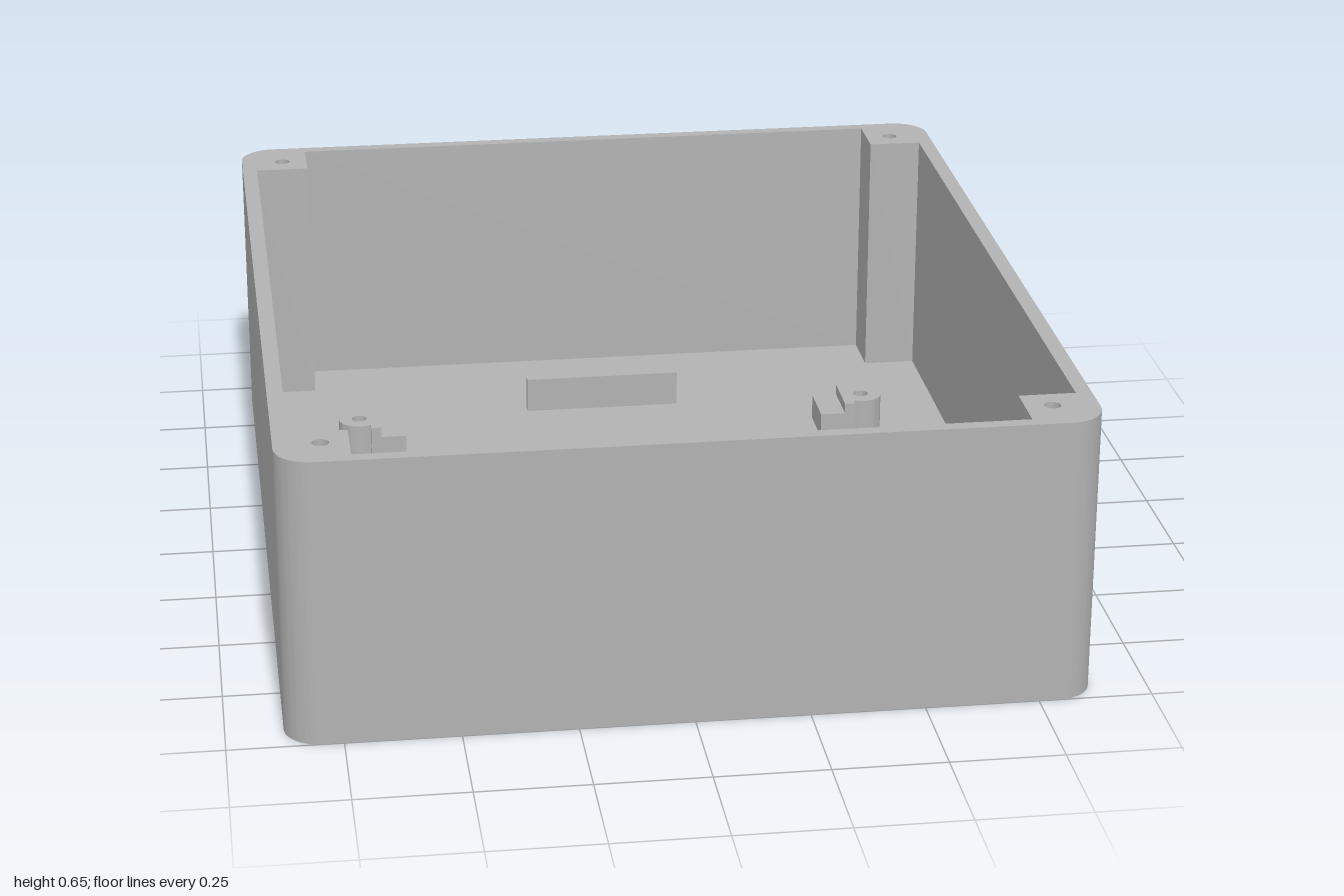
import * as THREE from 'three';
import { toCreasedNormals } from 'three/addons/utils/BufferGeometryUtils.js';

const HALF_X = 0.875, HALF_Z = 1, HEIGHT = 0.65, FLOOR = 0.05, CORNER = 0.08;

export function createModel() {
  const model = new THREE.Group();
  model.name = 'enclosureBase';
  const grey = new THREE.MeshStandardMaterial({ color: 0xb2b2b2 });
  grey.name = 'grey plastic';

  // Extrudes a plan shape (drawn in x and -z) upwards from y0 to y1
  function addPart(name, shape, y0, y1, parent = model) {
    let geometry = new THREE.ExtrudeGeometry(shape, { depth: y1 - y0, bevelEnabled: false, curveSegments: 16 });
    geometry.rotateX(-Math.PI / 2).translate(0, y0, 0);
    geometry = toCreasedNormals(geometry, 0.5);
    const mesh = new THREE.Mesh(geometry, grey);
    mesh.name = name;
    parent.add(mesh);
  }

  const polygon = (points) => new THREE.Shape(points.map(([x, y]) => new THREE.Vector2(x, y)));
  const rectangle = (x0, y0, x1, y1) => polygon([[x0, y0], [x1, y0], [x1, y1], [x0, y1]]);
  const hole = (x, y, r) => new THREE.Path().absarc(x, y, r, 0, Math.PI * 2, true);

  // Rounded outer outline shared by floor and walls
  function outline() {
    const s = new THREE.Shape(), x = HALF_X - CORNER, z = HALF_Z - CORNER;
    s.absarc(x, z, CORNER, 0, Math.PI / 2);
    s.absarc(-x, z, CORNER, Math.PI / 2, Math.PI);
    s.absarc(-x, -z, CORNER, Math.PI, Math.PI * 1.5);
    s.absarc(x, -z, CORNER, Math.PI * 1.5, Math.PI * 2);
    s.closePath();
    return s;
  }
  addPart('floor', outline(), 0, FLOOR);

  // Walls with square screw posts left standing in the corners
  const walls = outline();
  const ix = 0.84, iz = 0.97, px = 0.715, pz = 0.84;
  walls.holes.push(polygon([
    [ix, -pz], [px, -pz], [px, -iz], [-px, -iz], [-px, -pz], [-ix, -pz],
    [-ix, pz], [-px, pz], [-px, iz], [px, iz], [px, pz], [ix, pz],
  ]));
  for (const sx of [-1, 1]) for (const sz of [-1, 1]) walls.holes.push(hole(sx * 0.775, sz * 0.9, 0.018));
  addPart('wallsAndScrewPosts', walls, FLOOR, HEIGHT);

  // Low ribs across the floor near front and back
  for (const s of [-1, 1]) {
    const z = s * 0.647;
    addPart(s > 0 ? 'backRib' : 'frontRib', rectangle(-0.19, z - 0.013, 0.19, z + 0.013), FLOOR, 0.135);
  }

  // Board mounts: a drilled round boss with a shoulder and a lower ledge facing inwards
  for (const sx of [-1, 1]) for (const sz of [-1, 1]) {
    const mount = new THREE.Group();
    mount.name = (sz > 0 ? 'front' : 'back') + (sx > 0 ? 'Left' : 'Right') + 'BoardMount';
    const boss = polygon([[-0.05, -0.0625], [-0.025, -0.0625], [-0.025, -0.043]]);
    boss.absarc(0, 0, 0.05, -Math.PI * 0.667, Math.PI * 0.667);
    boss.lineTo(-0.025, 0.0625);
    boss.lineTo(-0.05, 0.0625);
    boss.closePath();
    boss.holes.push(hole(0, 0, 0.018));
    addPart('boss', boss, FLOOR, 0.135, mount);
    addPart('ledge', rectangle(-0.11, -0.0625, -0.05, 0.0625), FLOOR, 0.11, mount);
    mount.position.set(sx * 0.625, 0, sz * 0.438);
    mount.rotation.y = sx > 0 ? 0 : Math.PI;
    model.add(mount);
  }
  return model;
}
